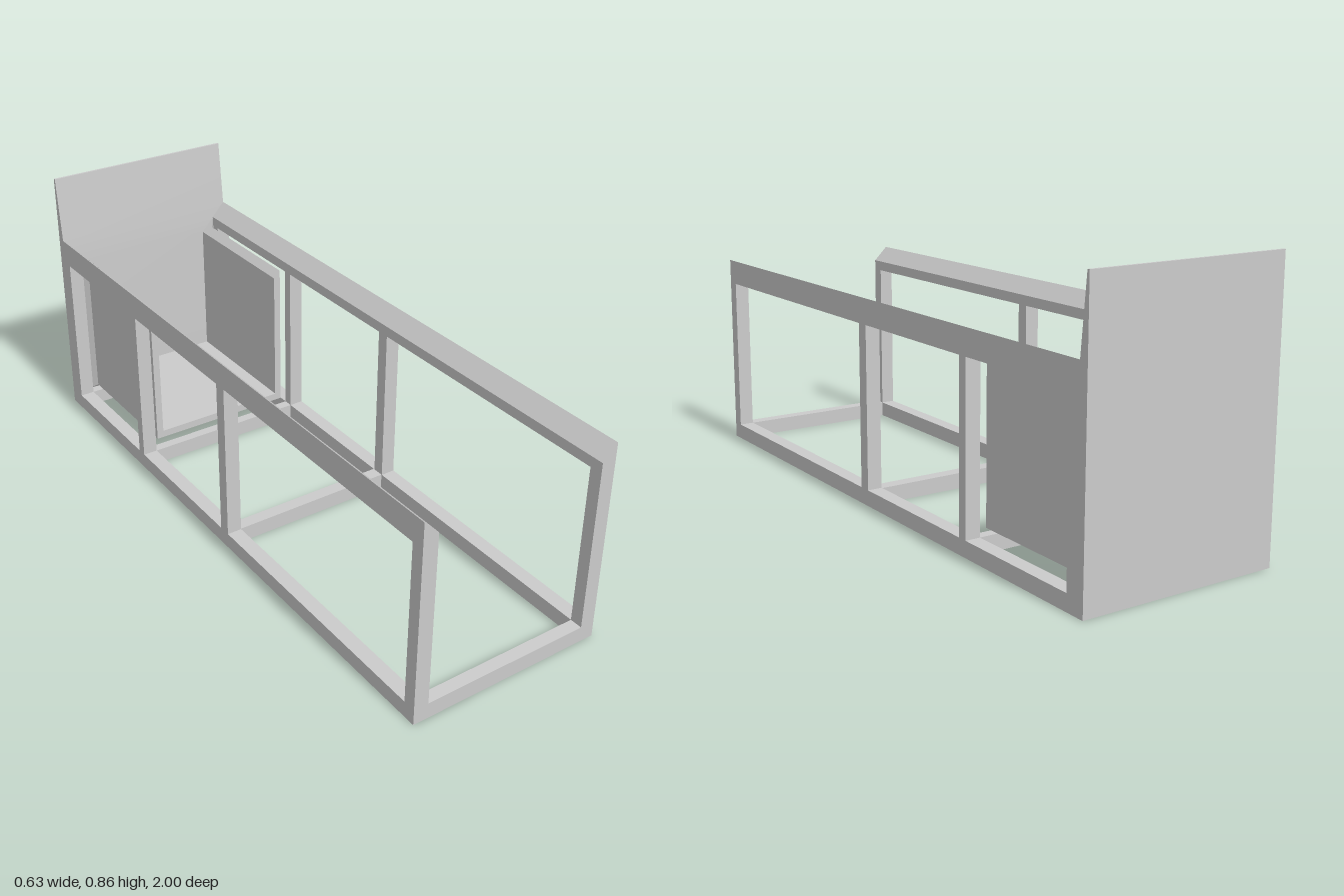
import * as THREE from 'three';
import { toCreasedNormals } from 'three/addons/utils/BufferGeometryUtils.js';

const OUT = 0.317, IN = 0.27, RAIL = 0.05;

export function createModel() {
  const group = new THREE.Group();
  const material = new THREE.MeshStandardMaterial({ color: 0xcccccc });
  const add = (name, geometry) => {
    const mesh = new THREE.Mesh(geometry, material);
    mesh.name = name;
    group.add(mesh);
  };
  const polygon = (pts) => new THREE.Shape(pts.map(([x, y]) => new THREE.Vector2(x, y)));
  // Extrude a (z, y) outline across x, starting at x0
  const extrudeX = (shape, x0, width) =>
    new THREE.ExtrudeGeometry(shape, { depth: width, bevelEnabled: false })
      .rotateY(Math.PI / 2).translate(x0, 0, 0);
  // Move every vertex by a rule
  const reshape = (geometry, rule) => {
    const p = geometry.attributes.position, v = new THREE.Vector3();
    for (let i = 0; i < p.count; i++) {
      rule(v.fromBufferAttribute(p, i));
      p.setXYZ(i, v.x, v.y, v.z);
    }
    geometry.computeVertexNormals();
    return geometry;
  };
  const rect = (z0, z1, y0, y1) => [[-z1, y0], [-z0, y0], [-z0, y1], [-z1, y1]];

  // Side frames: three window openings, top rail sloping inward
  for (const s of [1, -1]) {
    const shape = polygon(rect(-1, 1, 0, 0.64));
    for (const [z0, z1] of [[0.08, 0.96], [-0.46, 0.04], [-0.935, -0.492]])
      shape.holes.push(polygon(rect(z0, z1, RAIL, 0.56)));
    const frame = extrudeX(shape, s > 0 ? IN : -OUT, OUT - IN);
    add(s > 0 ? 'leftSideFrame' : 'rightSideFrame', reshape(frame, (v) => {
      if (v.y > 0.6 && Math.abs(v.x) < 0.29) v.y = 0.593;
    }));
  }

  // Bottom cross bars
  for (const [name, z0, z1] of [['frontCrossBar', 0.96, 1], ['middleCrossBar', 0.036, 0.078],
    ['boxCrossBar', -0.492, -0.46], ['backCrossBar', -1, -0.935]])
    add(name, new THREE.BoxGeometry(IN * 2, RAIL, z1 - z0).translate(0, RAIL / 2, (z0 + z1) / 2));

  // Back panel: upright below, thinning toward its top edge
  const profile = [[-1, 0], [-0.966, 0], [-0.966, 0.55], [-0.968, 0.59], [-0.971, 0.64],
    [-0.992, 0.855], [-1, 0.855]].map(([z, y]) => [-z, y]);
  add('backPanel', toCreasedNormals(extrudeX(polygon(profile), -OUT, OUT * 2), 0.6));

  // Open box: two sides and a floor, flaring to meet the back of the frame
  const u = [[-0.248, 0.073], [0.248, 0.073], [0.248, 0.569], [0.225, 0.546],
    [0.225, 0.097], [-0.225, 0.097], [-0.225, 0.546], [-0.248, 0.569]];
  const box = new THREE.ExtrudeGeometry(polygon(u), { depth: 2, steps: 2, bevelEnabled: false });
  add('openBox', reshape(box, (v) => {
    const level = Math.round(v.z);
    if (level === 0) {
      if (Math.abs(v.x) > 0.24) v.x = Math.sign(v.x) * IN;
      if (v.y < 0.08) v.y = RAIL;
      if (v.y > 0.56) v.y = 0.592;
    }
    v.z = [-0.967, -0.937, -0.49][level];
  }));

  return group;
}
